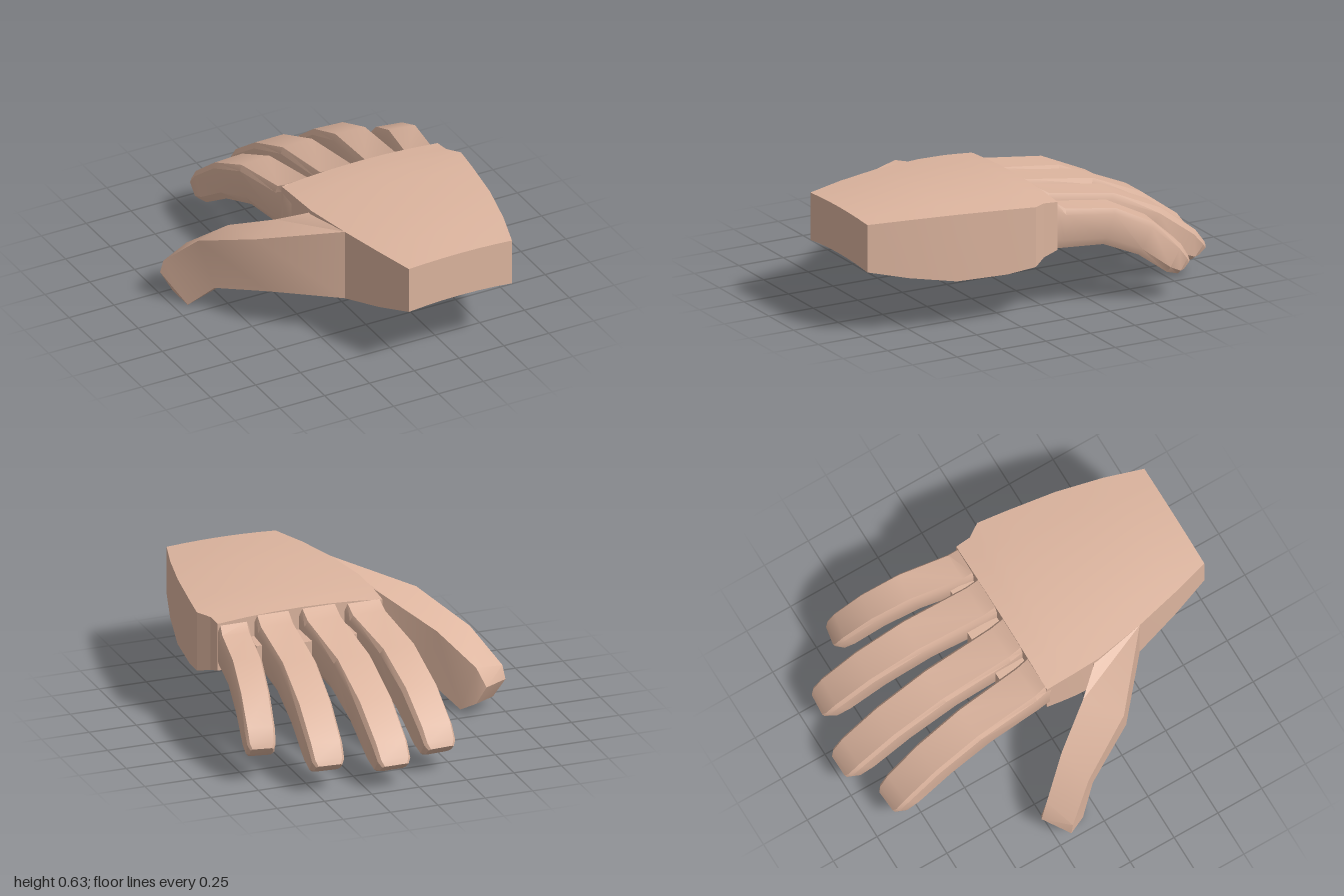
import * as THREE from 'three';
import { toCreasedNormals } from 'three/addons/utils/BufferGeometryUtils.js';

const lerp = THREE.MathUtils.lerp;

// Skin a list of equal-sized rings of [x, y, z] points and cap both ends.
function loft(rings, crease = 0.5) {
  const n = rings[0].length, pts = rings.flat(), index = [];
  for (let r = 0; r < rings.length - 1; r++) {
    for (let i = 0; i < n; i++) {
      const a = r * n + i, b = r * n + (i + 1) % n;
      index.push(a, b, b + n, a, b + n, a + n);
    }
  }
  const last = (rings.length - 1) * n;
  for (let i = 1; i < n - 1; i++) {
    index.push(0, i + 1, i, last, last + i, last + i + 1);
  }
  // A negative volume means the rings wind inwards: turn the faces over.
  const v = pts.map(p => new THREE.Vector3(...p));
  let volume = 0;
  for (let i = 0; i < index.length; i += 3) {
    volume += v[index[i]].dot(v[index[i + 1]].clone().cross(v[index[i + 2]]));
  }
  if (volume < 0) index.reverse();
  const g = new THREE.BufferGeometry().setFromPoints(v);
  g.setIndex(index);
  return toCreasedNormals(g, crease);
}

// Palm section: domed back of the hand, hollow underside.
function palmRing([z, x0, x1, edge, mid, botL, botMid, botR]) {
  const top = [], bottom = [], steps = 6;
  for (let i = 0; i <= steps; i++) {
    const t = i / steps, u = 2 * t - 1, bulge = 1 - u * u;
    const x = lerp(x0, x1, t);
    top.push([x, edge + (mid - edge) * bulge, z]);
    bottom.unshift([x, lerp(botL, botR, t) + (botMid - (botL + botR) / 2) * bulge, z]);
  }
  return [...top, ...bottom];
}

// Finger profile: top z, y, bottom z, y, width factor.
const FINGER = [
  [0.10, 0.58, 0.10, 0.35, 1],
  [0.00, 0.597, 0.00, 0.338, 1],
  [-0.07, 0.558, -0.05, 0.333, 1],
  [-0.45, 0.50, -0.36, 0.31, 0.97],
  [-0.73, 0.38, -0.62, 0.22, 0.94],
  [-0.93, 0.235, -0.83, 0.10, 0.9],
  [-0.985, 0.165, -0.91, 0.08, 0.84],
  [-1.00, 0.135, -0.945, 0.09, 0.68],
];
// Chamfered box section: across, up.
const SECTION = [[-0.84, 1], [0.84, 1], [1, 0.86], [1, 0.2], [0.78, 0], [-0.78, 0], [-1, 0.2], [-1, 0.86]];

function finger({ x0, x1, half, length, baseDrop, tipRise }) {
  const slope = (x1 - x0) / length;
  return loft(FINGER.map(([zt, yt, zb, yb, w]) => SECTION.map(([u, h]) => {
    const z = lerp(zb, zt, h);
    const along = Math.max(0, -z);
    const dx = u * half * w;
    const scaled = z < 0 ? z * length : z;
    const y = lerp(yb, yt, h) + lerp(-baseDrop * h, tipRise, along);
    return [lerp(x0, x1, along) + dx, y, scaled + dx * slope * Math.min(1, along * 2)];
  })));
}

export function createModel() {
  const hand = new THREE.Group();
  hand.name = 'hand';
  const skin = new THREE.MeshStandardMaterial({ color: 0xdcb49e });
  skin.name = 'skin';
  const add = (name, geometry) => {
    const mesh = new THREE.Mesh(geometry, skin);
    mesh.name = name;
    hand.add(mesh);
    return mesh;
  };

  // Palm from the wrist to the knuckles
  add('palm', loft([
    [1.00, -0.03, 0.545, 0.59, 0.60, 0.345, 0.36, 0.345],
    [0.80, -0.09, 0.605, 0.60, 0.618, 0.285, 0.345, 0.30],
    [0.56, -0.15, 0.66, 0.605, 0.628, 0.225, 0.33, 0.26],
    [0.30, -0.195, 0.70, 0.60, 0.625, 0.23, 0.33, 0.265],
    [0.15, -0.20, 0.72, 0.595, 0.62, 0.275, 0.33, 0.285],
    [0.08, -0.20, 0.675, 0.59, 0.615, 0.30, 0.33, 0.31],
    [0.00, -0.20, 0.67, 0.583, 0.606, 0.335, 0.335, 0.335],
  ].map(palmRing)));

  // Four fingers
  const fingers = {
    indexFinger: { x0: -0.10, x1: -0.16, half: 0.1, length: 0.895, baseDrop: 0.01, tipRise: 0.01 },
    middleFinger: { x0: 0.137, x1: 0.122, half: 0.102, length: 1, baseDrop: 0, tipRise: 0 },
    ringFinger: { x0: 0.378, x1: 0.445, half: 0.098, length: 0.93, baseDrop: 0, tipRise: 0.02 },
    littleFinger: { x0: 0.585, x1: 0.71, half: 0.083, length: 0.7, baseDrop: 0.025, tipRise: 0.06 },
  };
  for (const [name, spec] of Object.entries(fingers)) add(name, finger(spec));

  // Webs between the finger roots
  for (const [x, z] of [[0.02, -0.155], [0.26, -0.165], [0.49, -0.125]]) {
    const web = add('fingerWeb', new THREE.BoxGeometry(0.05, 0.14, -z + 0.05));
    web.position.set(x, 0.42, (z + 0.05) / 2);
  }

  // Thumb, each ring: outer top, inner top, inner bottom, outer bottom
  add('thumb', loft([
    [[-0.10, 0.60, 0.57], [-0.14, 0.59, 0.27], [-0.14, 0.30, 0.25], [-0.10, 0.25, 0.57]],
    [[-0.15, 0.605, 0.56], [-0.20, 0.575, 0.27], [-0.20, 0.27, 0.25], [-0.15, 0.225, 0.56]],
    [[-0.485, 0.505, 0.27], [-0.31, 0.50, 0.14], [-0.30, 0.22, 0.13], [-0.44, 0.215, 0.31]],
    [[-0.65, 0.385, -0.03], [-0.46, 0.40, -0.07], [-0.42, 0.14, -0.01], [-0.59, 0.13, 0.03]],
    [[-0.76, 0.22, -0.185], [-0.60, 0.25, -0.24], [-0.54, 0.015, -0.18], [-0.68, 0.0, -0.08]],
    [[-0.77, 0.15, -0.20], [-0.635, 0.16, -0.29], [-0.59, 0.07, -0.265], [-0.72, 0.05, -0.16]],
  ], 0.45));

  return hand;
}
